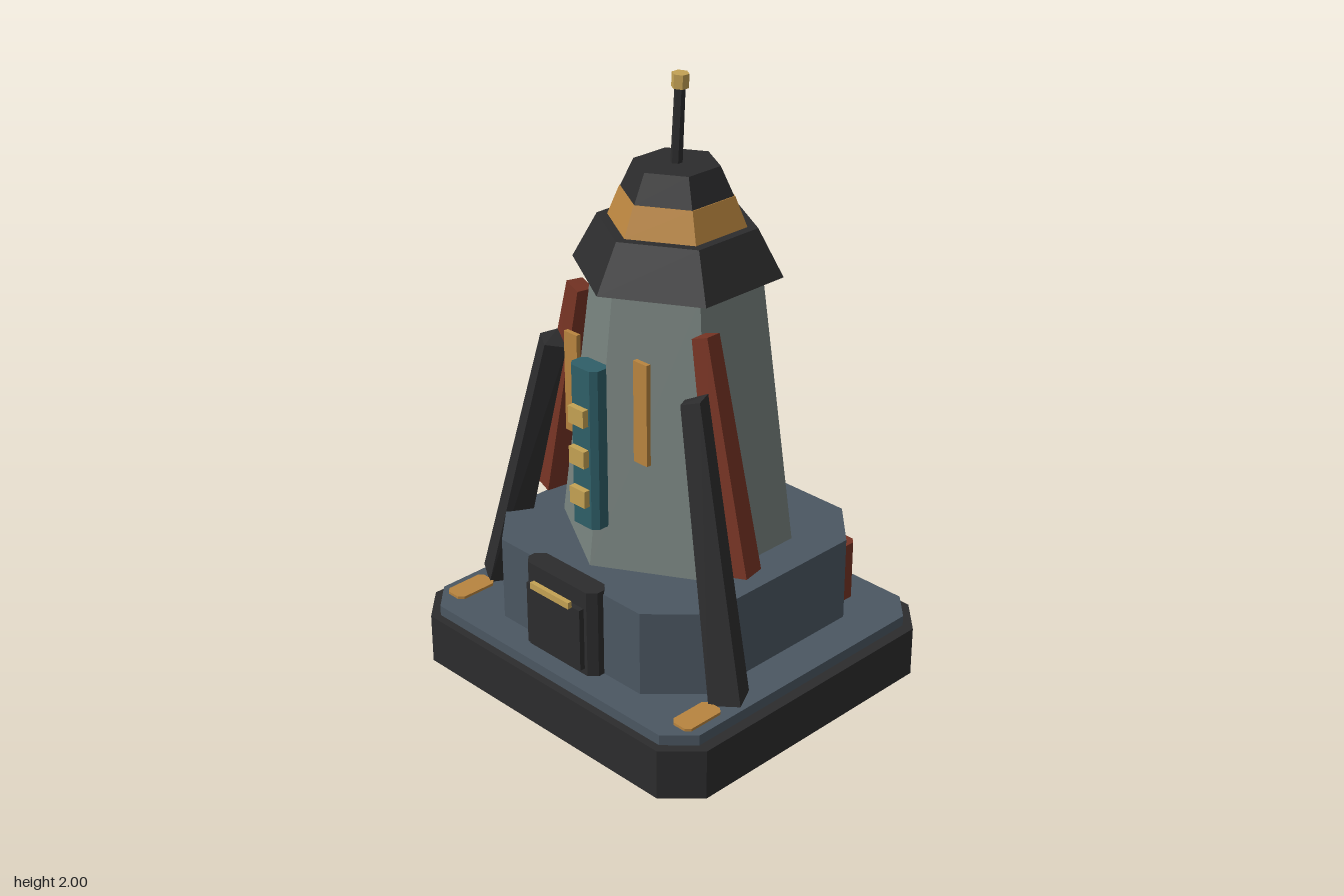
import * as THREE from 'three';
import { ConvexGeometry } from 'three/addons/geometries/ConvexGeometry.js';

const paint = (name, color) => {
  const m = new THREE.MeshStandardMaterial({ color });
  m.name = name;
  return m;
};

export function createModel() {
  const black = paint('charcoal', 0x2c2c2d);
  const slate = paint('slate blue', 0x4b5762);
  const grey = paint('grey green', 0x77827e);
  const orange = paint('ochre', 0xb8843f);
  const red = paint('rust red', 0x763424);
  const teal = paint('teal', 0x2f5f68);
  const gold = paint('pale gold', 0xc4a254);

  const model = new THREE.Group();
  model.name = 'watchtower';

  const add = (name, geometry, material, x = 0, y = 0, z = 0) => {
    const mesh = new THREE.Mesh(geometry, material);
    mesh.name = name;
    mesh.position.set(x, y, z);
    model.add(mesh);
    return mesh;
  };

  // Upright slab with cut vertical corners, standing on its origin
  const slab = (w, d, h, c) => {
    const a = w / 2, b = d / 2;
    const shape = new THREE.Shape([
      [a - c, -b], [a, -b + c], [a, b - c], [a - c, b],
      [-a + c, b], [-a, b - c], [-a, -b + c], [-a + c, -b],
    ].map(([x, y]) => new THREE.Vector2(x, y)));
    return new THREE.ExtrudeGeometry(shape, { depth: h, bevelEnabled: false }).rotateX(-Math.PI / 2);
  };

  // Flat-sided six-sided frustum from y0 to y1
  const hex = (r0, r1, y0, y1) => {
    const g = new THREE.CylinderGeometry(r1, r0, y1 - y0, 6).toNonIndexed();
    g.computeVertexNormals();
    return g.translate(0, (y0 + y1) / 2, 0);
  };

  // Tapered beam between two four-cornered ends, for the side s
  const beam = (s, corners) =>
    new ConvexGeometry(corners.map(([x, y, z]) => new THREE.Vector3(s * x, y, z)));

  // Base and podium
  add('basePlinth', slab(1.264, 1.164, 0.17, 0.105), black);
  add('baseDeck', slab(1.19, 1.11, 0.035, 0.085), slate, 0, 0.17, 0);
  add('podium', slab(0.92, 0.92, 0.285, 0.145), slate, 0, 0.205, -0.015);

  // Tower and stepped roof
  const cz = -0.025;
  add('towerBody', hex(0.38, 0.269, 0.49, 1.39), grey, 0, 0, cz);
  add('roofSkirt', hex(0.333, 0.252, 1.385, 1.535), black, 0, 0, cz);
  add('roofBand', hex(0.219, 0.18, 1.535, 1.63), orange, 0, 0, cz);
  add('roofCap', hex(0.177, 0.135, 1.63, 1.72), black, 0, 0, cz);

  // Leaning antenna
  const antenna = new THREE.Group();
  antenna.name = 'antenna';
  antenna.position.set(-0.002, 1.71, cz);
  antenna.rotation.z = -0.06;
  const rod = new THREE.Mesh(hex(0.019, 0.017, 0, 0.26), black);
  rod.name = 'antennaRod';
  const tip = new THREE.Mesh(hex(0.027, 0.027, 0.245, 0.289), gold);
  tip.name = 'antennaTip';
  antenna.add(rod, tip);
  model.add(antenna);

  // Signal panel with three lamps
  add('signalPanel', slab(0.114, 0.07, 0.535, 0.018), teal, -0.002, 0.64, 0.343);
  for (const y of [0.747, 0.883, 1.02]) {
    add('signalLamp', new THREE.BoxGeometry(0.066, 0.057, 0.025), gold, -0.003, y, 0.387);
  }

  // Hatch
  add('hatchFrame', slab(0.316, 0.077, 0.298, 0.025), black, -0.002, 0.205, 0.454);
  add('hatchDoor', new THREE.BoxGeometry(0.242, 0.215, 0.03), black, -0.002, 0.335, 0.496);
  add('hatchHandle', new THREE.BoxGeometry(0.174, 0.022, 0.016), gold, -0.002, 0.451, 0.518);

  for (const s of [-1, 1]) {
    const side = s < 0 ? 'right' : 'left';

    // Long dark struts
    add(side + 'Strut', beam(s, [
      [0.595, 0.22, 0.295], [0.508, 0.207, 0.345], [0.46, 0.205, 0.255], [0.545, 0.215, 0.205],
      [0.33, 1.135, 0.173], [0.26, 1.1, 0.2], [0.298, 1.115, 0.257], [0.35, 1.13, 0.228],
    ]), black);

    // Rust braces leaning on the tower
    add(side + 'Brace', beam(s, [
      [0.49, 0.565, 0.165], [0.47, 0.56, 0.08], [0.37, 0.54, 0.08], [0.378, 0.545, 0.19],
      [0.305, 1.3, 0.153], [0.297, 1.295, 0.093], [0.24, 1.278, 0.1], [0.248, 1.28, 0.16],
    ]), red);

    // Front stripes, foot plates and rear blocks
    add(side + 'Stripe', new THREE.BoxGeometry(0.057, 0.335, 0.016), orange, s * 0.152, 1.042, 0.272);
    add(side + 'FootPlate', slab(0.077, 0.152, 0.009, 0.015), orange, s * 0.525, 0.205, 0.411);
    add(side + 'RearBlock', slab(0.12, 0.12, 0.205, 0.018), red, s * 0.336, 0.205, -0.4);
  }

  return model;
}
